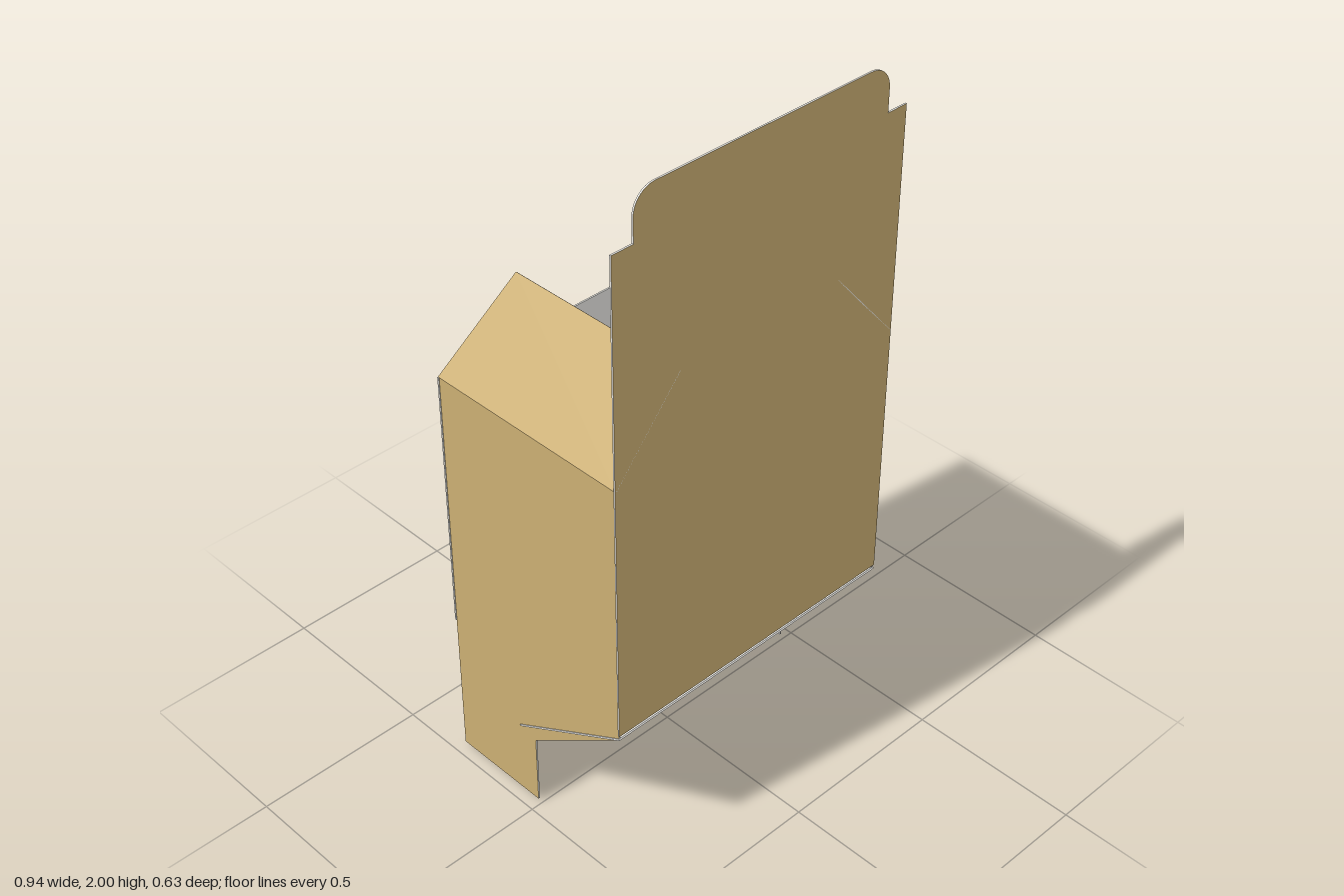
import * as THREE from 'three';

const T = 0.005;            // board thickness
const W = 0.47, D = 0.314;  // half width and half depth of the carton
const TOP = 1.235, BOTTOM = 0.455;

const kraft = new THREE.MeshStandardMaterial({ color: 0xcbaf73 });
kraft.name = 'kraftOutside';
const liner = new THREE.MeshStandardMaterial({ color: 0xebeae6 });
liner.name = 'paleInside';

const shapeOf = (pts) => new THREE.Shape(pts.map(([x, y]) => new THREE.Vector2(x, y)));

// A sheet of board hinged on its local x axis: kraft on +z, pale on the back and edges.
function sheet(name, shape, pos, turn = 0, tilt = 0) {
  const geo = new THREE.ExtrudeGeometry(shape, { depth: T, bevelEnabled: false, curveSegments: 10 });
  geo.translate(0, 0, -T);
  const [caps, edges] = geo.groups;
  const half = caps.count / 2;
  geo.clearGroups();
  geo.addGroup(0, half, 1);
  geo.addGroup(half, half, 0);
  geo.addGroup(edges.start, edges.count, 1);
  const mesh = new THREE.Mesh(geo, [kraft, liner]);
  mesh.name = name;
  mesh.rotation.order = 'YXZ';
  mesh.rotation.set(tilt, turn, 0);
  mesh.position.set(...pos);
  return mesh;
}

const rect = (w, h) => shapeOf([[-w, 0], [w, 0], [w, h], [-w, h]]);

// Lid with a rounded tuck tab
function lidShape() {
  const h = 2 - TOP, step = 1.87 - TOP, tab = 0.405, r = 0.065;
  const s = new THREE.Shape();
  s.moveTo(-W, 0);
  s.lineTo(W, 0);
  s.lineTo(W, step);
  s.lineTo(tab, step);
  s.lineTo(tab, h - r);
  s.absarc(tab - r, h - r, r, 0, Math.PI / 2, false);
  s.absarc(-tab + r, h - r, r, Math.PI / 2, Math.PI, false);
  s.lineTo(-tab, step);
  s.lineTo(-W, step);
  s.closePath();
  return s;
}

export function createModel() {
  const g = new THREE.Group();
  g.name = 'openCarton';

  // Front and back walls, and the raised lid
  g.add(sheet('frontWall', rect(W, TOP - 0.468), [0, 0.468, D]));
  g.add(sheet('backWall', rect(W, TOP - BOTTOM), [0, BOTTOM, -D], Math.PI));
  g.add(sheet('lid', lidShape(), [0, TOP, D]));

  // Front bottom flap, folded inward, with a notch
  g.add(sheet('frontBottomFlap', shapeOf([
    [-W, 0], [-W, -0.437], [-0.25, -0.437], [-0.25, -0.315],
    [0.25, -0.315], [0.25, -0.437], [W, -0.437], [W, 0],
  ]), [0, BOTTOM, D], 0, 1.056));

  // Back bottom flap, hanging straight down
  g.add(sheet('backBottomFlap', shapeOf([
    [-W, 0], [-0.235, 0.13 - BOTTOM], [-0.235, -BOTTOM],
    [0.235, -BOTTOM], [0.235, 0.13 - BOTTOM], [W, 0],
  ]), [0, BOTTOM, -D], Math.PI));

  // Side walls with their top and bottom flaps; f points from back to front in local x
  for (const s of [1, -1]) {
    const side = s > 0 ? 'left' : 'right';
    const turn = s * Math.PI / 2, x = s * (W - 0.002), d = D - 0.004;
    const f = (pts) => shapeOf(pts.map(([z, y]) => [-s * z, y]));
    g.add(sheet(side + 'Wall', rect(d, TOP - BOTTOM), [x, BOTTOM, 0], turn));
    g.add(sheet(side + 'TopFlap', f([
      [D, 0], [D, 0.316], [-0.248, 0.316], [-D, 0],
    ]), [x, TOP, 0], turn, -0.707));
    g.add(sheet(side + 'BottomFlap', f([
      [D, 0], [-0.01, 0.225 - BOTTOM], [-0.01, 0.01 - BOTTOM], [-d, 0.01 - BOTTOM], [-d, 0],
    ]), [x, BOTTOM, 0], turn));
  }
  return g;
}
